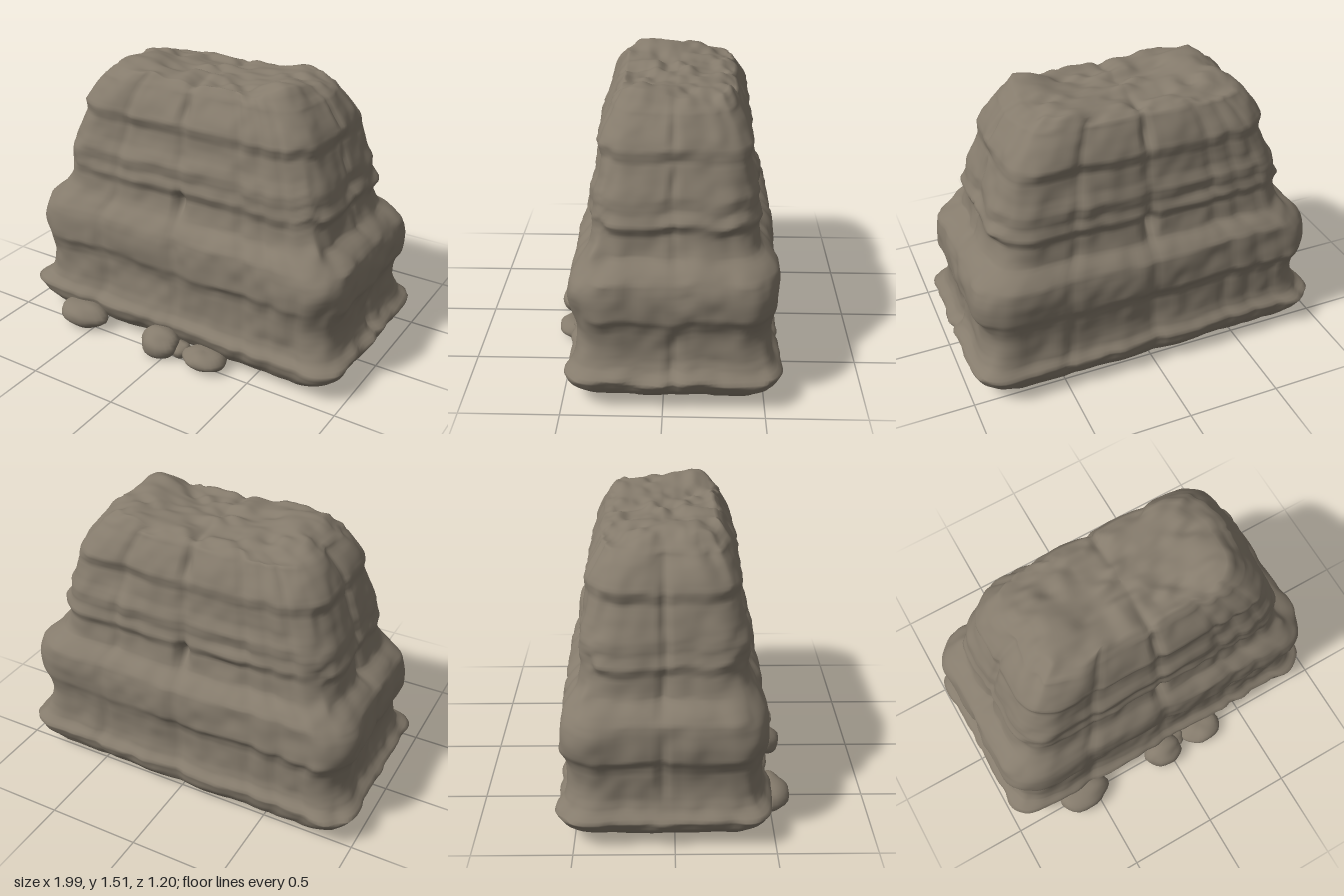
import * as THREE from 'three';

// Repeatable smooth value noise in the range -1..1
function hash(x, y, z) {
  const s = Math.sin(x * 127.1 + y * 311.7 + z * 74.7) * 43758.5453;
  return (s - Math.floor(s)) * 2 - 1;
}
function noise(x, y, z) {
  const i = [x, y, z].map(Math.floor);
  const f = [x - i[0], y - i[1], z - i[2]].map(t => t * t * (3 - 2 * t));
  let sum = 0;
  for (let k = 0; k < 8; k++) {
    const d = [k & 1, (k >> 1) & 1, k >> 2];
    const w = d.reduce((p, on, n) => p * (on ? f[n] : 1 - f[n]), 1);
    sum += w * hash(i[0] + d[0], i[1] + d[1], i[2] + d[2]);
  }
  return sum;
}
const bump = (t, width) => Math.exp(-(t * t) / (width * width));
const { clamp, lerp, smoothstep } = THREE.MathUtils;

// Strata outline: height, half width, half depth
const PROFILE = [
  [0.012, 0.66, 0.33], [0.025, 0.8, 0.43], [0.055, 0.9, 0.485], [0.11, 0.96, 0.525],
  [0.17, 0.99, 0.545], [0.21, 0.94, 0.505], [0.26, 0.915, 0.49], [0.41, 0.905, 0.485],
  [0.45, 0.92, 0.495], [0.49, 0.955, 0.52], [0.56, 0.95, 0.515], [0.68, 0.94, 0.51],
  [0.72, 0.89, 0.475], [0.76, 0.81, 0.425], [0.87, 0.785, 0.405], [0.92, 0.82, 0.437],
  [0.97, 0.78, 0.41], [1.04, 0.775, 0.425], [1.1, 0.745, 0.39], [1.2, 0.7, 0.37],
  [1.26, 0.715, 0.395], [1.3, 0.69, 0.375], [1.37, 0.64, 0.34], [1.42, 0.585, 0.305],
];
function outlineAt(y) {
  const n = PROFILE.length;
  let i = 0;
  while (i < n - 2 && PROFILE[i + 1][0] < y) i++;
  const [p, q] = [PROFILE[i], PROFILE[i + 1]];
  const t = clamp((y - p[0]) / (q[0] - p[0]), 0, 1);
  return [lerp(p[1], q[1], t), lerp(p[2], q[2], t)];
}
// Outline with the ledges worn down by an amount from 0 to 1
function wornOutline(y, wear) {
  const sharp = outlineAt(y);
  const near = [-0.08, -0.04, 0.04, 0.08].map(d => outlineAt(y + d));
  return sharp.map((v, k) => lerp(v, near.reduce((s, o) => s + o[k], 0) / 4, wear));
}

// Points around a unit square, counter-clockwise seen from above
function squarePath(nx, nz) {
  const path = [];
  for (let i = 0; i < nx; i++) path.push([-1 + 2 * i / nx, 1]);
  for (let i = 0; i < nz; i++) path.push([1, 1 - 2 * i / nz]);
  for (let i = 0; i < nx; i++) path.push([1 - 2 * i / nx, -1]);
  for (let i = 0; i < nz; i++) path.push([-1, -1 + 2 * i / nz]);
  return path;
}

const CENTRE_Z = -0.05;

// A wall point: rounded rectangle pushed by noise, grooves and cracks
function wallPoint(qx, qz, y) {
  const aboveFoot = smoothstep(y, 0.15, 0.35);
  const corner = smoothstep(Math.min(Math.abs(qx), Math.abs(qz)), 0.7, 1);
  const wobble = 0.016 * noise(qx * 5 + 3, y * 2, qz * 4 + 7) * Math.min(1, y / 0.2);
  const wear = aboveFoot * clamp(0.3 + 0.3 * noise(qx * 3, y * 4, qz * 3 + 5) + 0.4 * corner, 0, 0.9);
  const [a, b] = wornOutline(y + wobble, wear);
  const r = lerp(0.16, 0.19, aboveFoot);
  const ix = clamp(qx * a, r - a, a - r);
  const iz = clamp(qz * b, r - b, b - r);
  let dx = qx * a - ix, dz = qz * b - iz;
  const len = Math.hypot(dx, dz) || 1;
  dx /= len;
  dz /= len;
  const x = ix + dx * r, z = iz + dz * r;

  let push = 0.012 * noise(x * 6, y * 5, z * 6) + 0.007 * noise(x * 15, y * 13, z * 15) - 0.005;
  const shift = 0.012 * noise(4, y * 7, qz * 3);
  if (Math.abs(qz) === 1) {
    push -= 0.012 * bump(qx - shift, 0.035);
    // Joints run closer to the right end at the front, the left end at the back
    for (const g of [-0.5, 0.46, 0.62, 0.78]) push -= 0.011 * bump(qx * qz - g - shift, 0.035);
    push -= 0.05 * bump(qx, 0.035) * (bump(y - 0.84, 0.07) + 0.6 * bump(y - 1.33, 0.06));
  } else {
    push -= 0.022 * bump(qz - shift * 2, 0.05) * (0.6 + 0.6 * noise(qx + 9, y * 9, 2));
  }
  push *= Math.min(1, y / 0.12);
  return [x + dx * push, y, z + dz * push + CENTRE_Z];
}

function rockGeometry() {
  const path = squarePath(72, 44), count = path.length;
  const pos = [], index = [];
  const addRing = fn => path.forEach(([qx, qz]) => pos.push(...fn(qx, qz)));

  // Walls from the foot up, then the crumbled top
  const yMin = 0.012, yMax = 1.42, rows = 100, topRings = 26;
  for (let j = 0; j <= rows; j++) {
    const y = yMin + (yMax - yMin) * j / rows;
    addRing((qx, qz) => wallPoint(qx, qz, y));
  }
  for (let j = 1; j <= topRings; j++) {
    const s = 1 - j / topRings;
    const rise = Math.min(1, j / 3);
    addRing((qx, qz) => {
      const [x, , z] = wallPoint(qx, qz, yMax);
      const px = x * s, pz = (z - CENTRE_Z) * s + CENTRE_Z;
      let lift = 0.03 + 0.018 * noise(px * 5, 5, pz * 9) + 0.018 * noise(px * 12, 8, pz * 18);
      lift += 0.04 * bump(px - 0.45, 0.13) * bump(pz - 0.1, 0.2);
      lift += 0.04 * bump(px + 0.43, 0.13) * bump(pz - 0.03, 0.16);
      lift -= 0.025 * bump(px + 0.5, 0.2) * bump(pz + 0.33, 0.12);
      lift -= 0.015 * bump(px, 0.025) * s;
      return [px, yMax + rise * lift, pz];
    });
  }
  const rings = rows + topRings;
  for (let j = 0; j < rings; j++) {
    for (let i = 0; i < count; i++) {
      const a = j * count + i, b = j * count + (i + 1) % count;
      index.push(a, b, b + count);
      if (j < rings - 1) index.push(a, b + count, a + count);
    }
  }
  // Underside
  const base = pos.length / 3;
  pos.push(0, 0.012, CENTRE_Z);
  for (let i = 0; i < count; i++) index.push(base, (i + 1) % count, i);

  const geo = new THREE.BufferGeometry();
  geo.setAttribute('position', new THREE.Float32BufferAttribute(pos, 3));
  geo.setIndex(index);
  geo.computeVertexNormals();
  return geo;
}

// A worn boulder: a sphere with gentle lumps and a flat foot
function boulderGeometry(rx, ry, rz, seed) {
  const geo = new THREE.SphereGeometry(1, 24, 16);
  const p = geo.attributes.position, v = new THREE.Vector3();
  for (let i = 0; i < p.count; i++) {
    v.fromBufferAttribute(p, i);
    const k = 1.04 + 0.14 * noise(v.x * 1.6 + seed, v.y * 1.6, v.z * 1.6);
    p.setXYZ(i, v.x * k * rx, Math.max(-ry, v.y * k * ry * 1.1), v.z * k * rz);
  }
  geo.computeVertexNormals();
  return geo;
}

export function createModel() {
  const group = new THREE.Group();
  const stone = new THREE.MeshStandardMaterial({ color: 0x857b6c });
  stone.name = 'stone';

  const rock = new THREE.Mesh(rockGeometry(), stone);
  rock.name = 'layeredRock';
  group.add(rock);

  // Fallen boulders along the front foot: x, z, then half sizes
  const boulders = [
    [-0.57, 0.5, 0.145, 0.068, 0.1],
    [-0.04, 0.505, 0.11, 0.07, 0.095],
    [0.07, 0.47, 0.05, 0.042, 0.05],
    [0.23, 0.49, 0.115, 0.05, 0.095],
  ];
  boulders.forEach(([x, z, rx, ry, rz], i) => {
    const boulder = new THREE.Mesh(boulderGeometry(rx, ry, rz, i * 5.3 + 1), stone);
    boulder.name = 'boulder' + (i + 1);
    boulder.position.set(x, ry, z);
    group.add(boulder);
  });
  return group;
}
